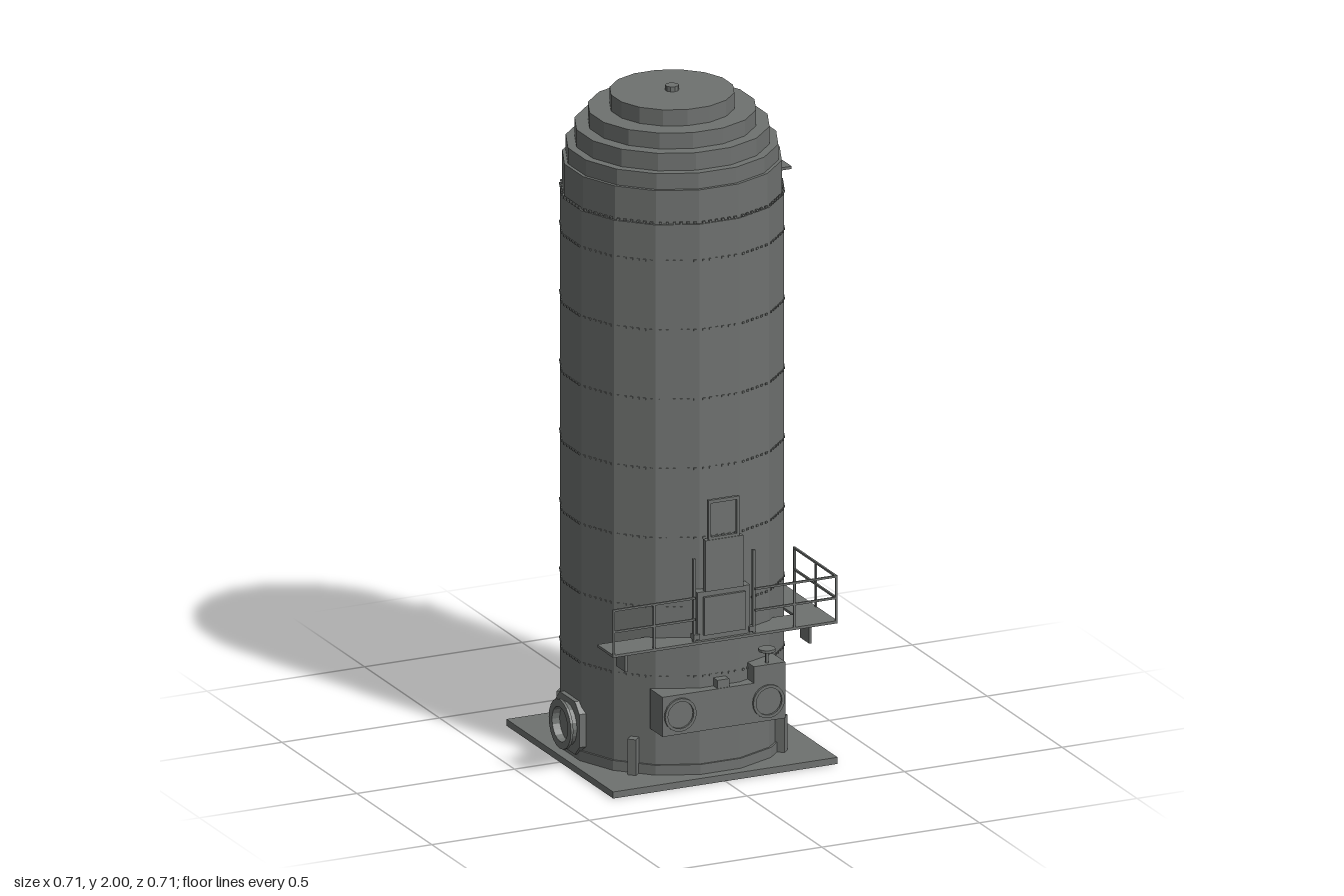
import * as THREE from 'three';
import { mergeGeometries } from 'three/addons/utils/BufferGeometryUtils.js';

const steel = new THREE.MeshStandardMaterial({ color: 0x6e716f, flatShading: true });
steel.name = 'grey steel';

const SIDES = 16;
const C = Math.cos(Math.PI / SIDES); // flat-to-centre over corner-to-centre

export function createModel() {
  const model = new THREE.Group();

  const add = (name, geo, parent = model) => {
    const m = new THREE.Mesh(geo, steel);
    m.name = name;
    parent.add(m);
    return m;
  };
  const group = (name) => {
    const g = new THREE.Group();
    g.name = name;
    model.add(g);
    return g;
  };
  // Box from its min and max corners
  const box = (x0, x1, y0, y1, z0, z1) =>
    new THREE.BoxGeometry(x1 - x0, y1 - y0, z1 - z0)
      .translate((x0 + x1) / 2, (y0 + y1) / 2, (z0 + z1) / 2);
  // Closed ring with its axis along z
  const ring = (rIn, rOut, z0, z1, n = 20) =>
    new THREE.LatheGeometry([[rOut, z0], [rOut, z1], [rIn, z1], [rIn, z0], [rOut, z0]]
      .map(([r, y]) => new THREE.Vector2(r, y)), n).rotateX(Math.PI / 2);
  const disc = (r, z0, z1, n = 20) =>
    new THREE.CylinderGeometry(r, r, z1 - z0, n).rotateX(Math.PI / 2).translate(0, 0, (z0 + z1) / 2);
  const extrude = (pts, depth) =>
    new THREE.ExtrudeGeometry(new THREE.Shape(pts.map(([x, y]) => new THREE.Vector2(x, y))),
      { depth, bevelEnabled: false });

  // Base plate with a grid of ribs underneath
  add('basePlate', box(-0.356, 0.356, 0.01, 0.02, -0.356, 0.356));
  const ribs = [];
  for (let i = 0; i <= 4; i++) {
    const p = -0.35 + i * 0.175;
    ribs.push(box(p - 0.006, p + 0.006, 0, 0.01, -0.356, 0.356));
    ribs.push(box(-0.356, 0.356, 0, 0.01, p - 0.006, p + 0.006));
  }
  add('baseRibs', mergeGeometries(ribs));

  // Tank body with foot flange and stepped dome
  const profile = [
    [0.324, 0.02], [0.324, 0.05], [0.318, 0.05], [0.318, 1.685], [0.312, 1.685],
    [0.312, 1.787], [0.302, 1.787], [0.302, 1.835], [0.277, 1.835], [0.277, 1.888],
    [0.239, 1.888], [0.239, 1.936], [0.177, 1.936], [0.177, 1.985], [0, 1.985],
  ].map(([r, y]) => new THREE.Vector2(r / C, y));
  add('tankBody', new THREE.LatheGeometry(profile, SIDES, Math.PI / SIDES));
  add('topVent', new THREE.CylinderGeometry(0.02, 0.02, 0.015, 10).translate(0, 1.9925, 0));

  // Rows of rivets around the shell
  const rivets = [];
  const rows = [1.69];
  for (let y = 1.575; y > 0.2; y -= 0.21) rows.push(y);
  for (const y of rows) {
    for (let s = 0; s < SIDES; s++) {
      for (let i = 0; i < 6; i++) {
        rivets.push(new THREE.BoxGeometry(0.008, 0.006, 0.006)
          .translate((i - 2.5) * 0.02, y, 0.318).rotateY((s * 2 * Math.PI) / SIDES));
      }
    }
  }
  add('rivets', mergeGeometries(rivets));

  // Anchor lugs on the diagonals
  for (let i = 0; i < 4; i++) {
    add('anchorLug', box(-0.013, 0.013, 0.02, 0.128, 0.312, 0.346)
      .rotateY(Math.PI / 4 + (i * Math.PI) / 2));
  }

  // Manholes on the back and the right side
  const manhole = (name, angle, lid) => {
    const g = group(name);
    const k = 0.03, h = 0.08;
    add('mountPlate', extrude([[-h + k, -h], [h - k, -h], [h, -h + k], [h, h - k],
      [h - k, h], [-h + k, h], [-h, h - k], [-h, -h + k]], 0.022)
      .translate(0, 0.115, 0.31), g);
    add('neck', ring(0.052, 0.064, 0.325, 0.352).translate(0, 0.115, 0), g);
    add('flange', ring(0.052, 0.074, 0.348, 0.356).translate(0, 0.115, 0), g);
    if (lid) {
      add('lid', disc(0.054, 0.33, 0.351).translate(0, 0.115, 0), g);
      add('hingeBar', box(-0.035, 0.035, 0.187, 0.199, 0.33, 0.352), g);
    }
    g.rotation.y = angle;
  };
  manhole('backManhole', Math.PI, true);
  manhole('sideManhole', -Math.PI / 2, false);

  // Front valve box with two round covers and a hand wheel
  const valve = group('valveBox');
  add('housing', extrude([[-0.195, 0.16], [0.195, 0.16], [0.195, 0.33], [0.095, 0.33],
    [0.095, 0.28], [-0.195, 0.28]], 0.085).translate(0, 0, 0.262), valve);
  add('topLug', box(-0.02, 0.018, 0.28, 0.305, 0.315, 0.345), valve);
  for (const s of [-1, 1]) {
    add('coverRing', ring(0.041, 0.05, 0.345, 0.354).translate(s * 0.14, 0.22, 0), valve);
  }
  add('valveStem', box(0.14, 0.148, 0.33, 0.37, 0.326, 0.334), valve);
  add('handWheel', new THREE.CylinderGeometry(0.025, 0.025, 0.008, 12)
    .translate(0.144, 0.37, 0.33), valve);

  // Stepped front hatch with an open frame on top and side rods
  const hatch = group('frontHatch');
  add('hatchBase', box(-0.084, 0.084, 0.43, 0.58, 0.31, 0.345), hatch);
  add('hatchDoor', box(-0.066, 0.066, 0.45, 0.565, 0.34, 0.354), hatch);
  add('hatchPanel', box(-0.06, 0.06, 0.58, 0.735, 0.332, 0.35), hatch);
  for (const s of [-1, 1]) {
    add('frameSide', box(s * 0.045 - 0.004, s * 0.045 + 0.004, 0.735, 0.855, 0.338, 0.348), hatch);
    add('sideRod', box(s * 0.095 - 0.004, s * 0.095 + 0.004, 0.43, 0.685, 0.34, 0.35), hatch);
    add('rodClamp', box(s * 0.088 - 0.01, s * 0.088 + 0.01, 0.44, 0.455, 0.33, 0.352), hatch);
  }
  add('frameTop', box(-0.049, 0.049, 0.845, 0.855, 0.338, 0.348), hatch);
  add('frameBottom', box(-0.049, 0.049, 0.735, 0.743, 0.338, 0.348), hatch);

  // L-shaped walkway and its brackets
  const walkway = group('walkway');
  add('deck', extrude([[-0.356, -0.356], [0.356, -0.356], [0.356, 0.055], [0.267, 0.055],
    [0.267, -0.25], [-0.356, -0.25]], 0.008).rotateX(-Math.PI / 2).translate(0, 0.426, 0), walkway);
  for (const s of [-1, 1]) {
    add('deckBracket', extrude([[-0.31, 0.36], [-0.25, 0.36], [-0.25, 0.43], [-0.31, 0.43]], 0.008)
      .rotateY(Math.PI / 2).translate(s * 0.292 - 0.004, 0, 0), walkway);
  }

  // Railings: front left, front right and the ladder side
  const railing = group('railing');
  const t = 0.003;
  for (const y of [0.503, 0.568]) {
    add('frontLeftRail', box(-0.356, -0.095, y - t, y + t, 0.35, 0.356), railing);
    add('frontRightRail', box(0.095, 0.356, y - t, y + t, 0.35, 0.356), railing);
    add('sideRail', box(0.35, 0.356, y - t, y + t, 0.072, 0.356), railing);
  }
  for (const [x, z] of [[-0.353, 0.353], [-0.225, 0.353], [0.22, 0.353],
    [0.353, 0.353], [0.353, 0.217], [0.353, 0.075]]) {
    add('railPost', box(x - t, x + t, 0.43, 0.571, z - t, z + t), railing);
  }

  // Ladder standing edge-on to the shell
  const ladder = group('ladder');
  add('innerRail', box(0.322, 0.328, 0.02, 1.76, -0.054, -0.044), ladder);
  add('middleRail', box(0.336, 0.34, 0.02, 1.73, -0.052, -0.046), ladder);
  add('outerRail', box(0.35, 0.355, 0.36, 1.73, -0.057, -0.05), ladder);
  const rungs = [];
  for (let y = 0.06; y < 1.72; y += 0.034) {
    rungs.push(box(0.315, y > 0.36 ? 0.354 : 0.339, y - 0.002, y + 0.002, -0.053, -0.048));
  }
  add('rungs', mergeGeometries(rungs), ladder);
  add('topStep', box(0.3, 0.356, 1.708, 1.716, -0.06, 0.05), ladder);

  return model;
}
